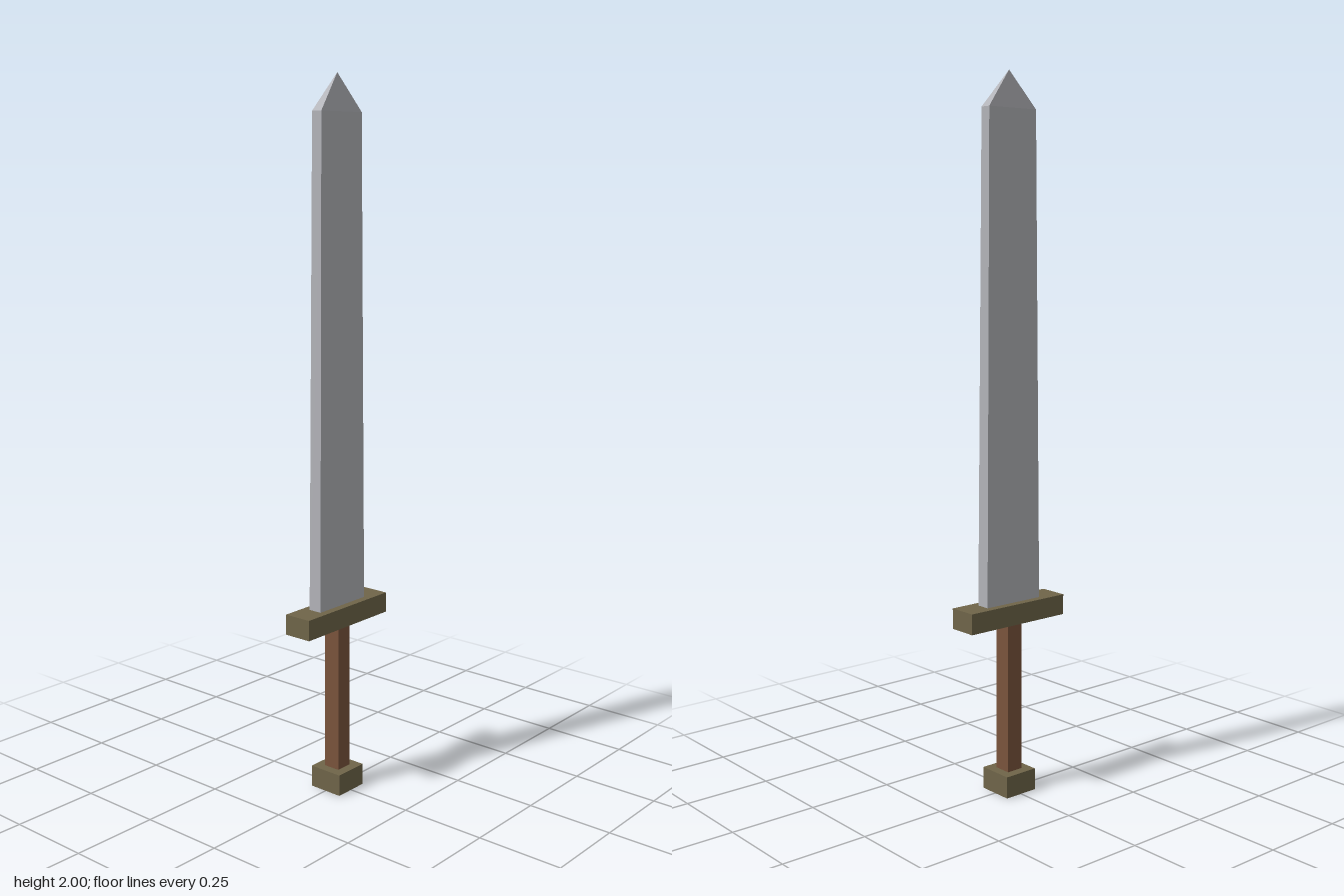
import * as THREE from 'three';

const mat = (color) => new THREE.MeshStandardMaterial({ color, flatShading: true });

// Four-sided tapered block; half sizes [x, z] at the bottom and at the top
function taperedBlock(y0, y1, [bx, bz], [tx, tz]) {
  const geo = new THREE.BoxGeometry(2, 1, 2);
  const p = geo.attributes.position;
  for (let i = 0; i < p.count; i++) {
    const top = p.getY(i) > 0;
    p.setXYZ(i, p.getX(i) * (top ? tx : bx), top ? y1 : y0, p.getZ(i) * (top ? tz : bz));
  }
  geo.computeVertexNormals();
  return geo;
}

export function createModel() {
  const sword = new THREE.Group();
  sword.name = 'sword';
  const steel = mat(0xb2b3b8);
  const wood = mat(0x7a543c);
  const bronze = mat(0x6f6549);

  const add = (name, geo, material) => {
    const mesh = new THREE.Mesh(geo, material);
    mesh.name = name;
    sword.add(mesh);
    return mesh;
  };
  const block = (y0, y1, x, z) => taperedBlock(y0, y1, [x, z], [x, z]);

  // Hilt
  add('pommel', block(0, 0.062, 0.052, 0.052), bronze);
  add('grip', block(0.062, 0.492, 0.025, 0.025), wood);
  add('guard', block(0.492, 0.55, 0.168, 0.042), bronze);

  // Blade narrows slightly towards the tip
  add('blade', taperedBlock(0.55, 1.9, [0.095, 0.02], [0.082, 0.016]), steel);

  // Pyramid point on a rectangular base
  const tip = new THREE.ConeGeometry(Math.SQRT2, 0.1, 4, 1, true);
  tip.rotateY(Math.PI / 4);
  tip.scale(0.082, 1, 0.016);
  tip.translate(0, 1.95, 0);
  add('bladeTip', tip, steel);

  return sword;
}
